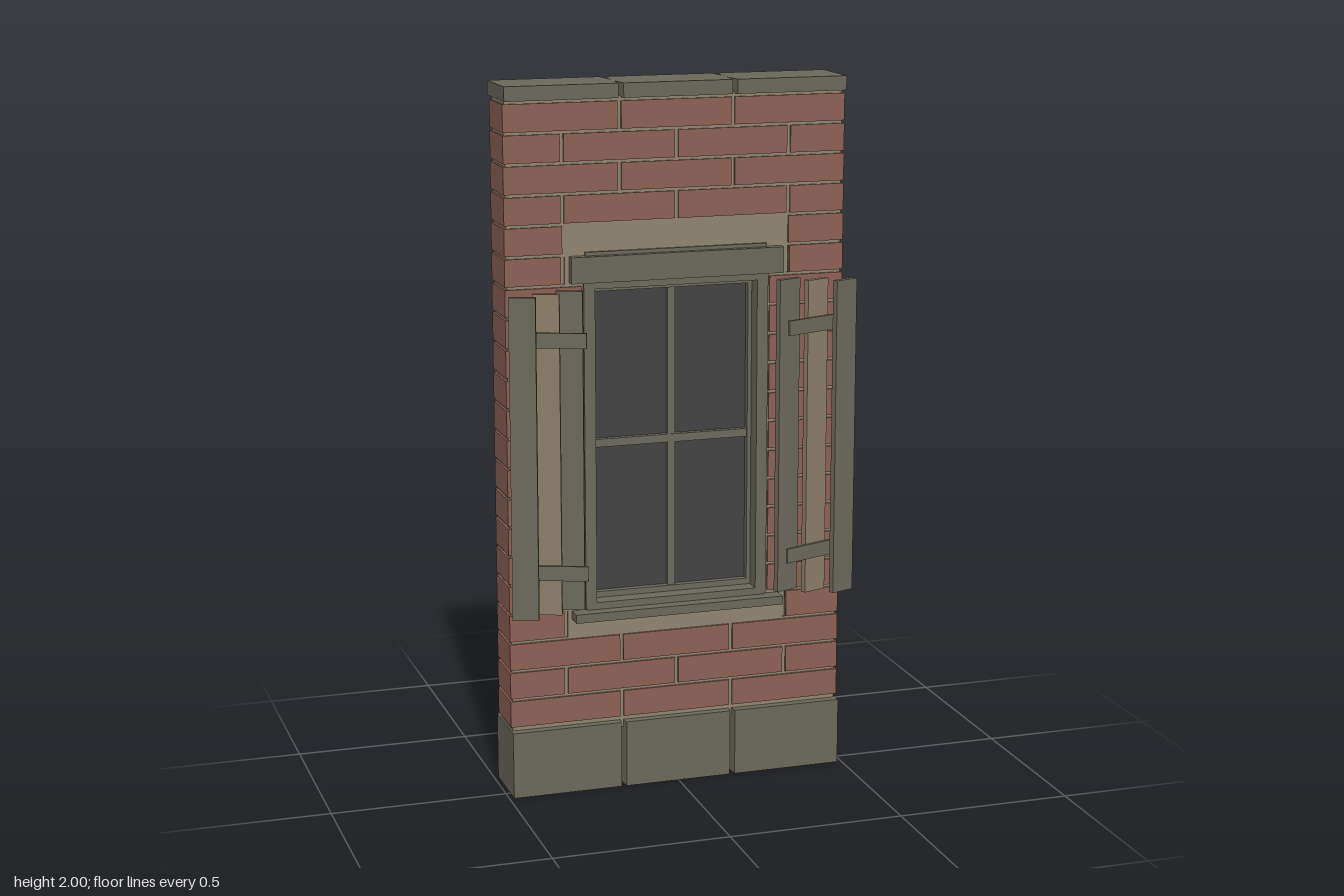
import * as THREE from 'three';

const mat = (name, color) => {
  const m = new THREE.MeshStandardMaterial({ color });
  m.name = name;
  return m;
};

export function createModel() {
  const brick = mat('brick red', 0x8c6056);
  const stone = mat('grey stone', 0x6b685b);
  const mortar = mat('tan mortar', 0x8e8470);
  const wood = mat('grey wood', 0x6c6a5d);
  const paleWood = mat('pale wood', 0x8b7d69);
  const glass = mat('dark glass', 0x434343);

  const model = new THREE.Group();
  model.name = 'wallWithWindow';
  const group = (name) => {
    const g = new THREE.Group();
    g.name = name;
    model.add(g);
    return g;
  };
  // Box given by its limits on each axis
  const box = (parent, name, material, [x0, x1], [y0, y1], [z0, z1]) => {
    const mesh = new THREE.Mesh(new THREE.BoxGeometry(x1 - x0, y1 - y0, z1 - z0), material);
    mesh.position.set((x0 + x1) / 2, (y0 + y1) / 2, (z0 + z1) / 2);
    mesh.name = name;
    parent.add(mesh);
    return mesh;
  };

  // Mortar core with the window opening
  const outline = new THREE.Shape([[-0.482, 0.17], [0.482, 0.17], [0.482, 1.965], [-0.482, 1.965]]
    .map(([x, y]) => new THREE.Vector2(x, y)));
  outline.holes.push(new THREE.Path([[-0.262, 0.5], [-0.262, 1.46], [0.262, 1.46], [0.262, 0.5]]
    .map(([x, y]) => new THREE.Vector2(x, y))));
  const core = new THREE.Mesh(
    new THREE.ExtrudeGeometry(outline, { depth: 0.131, bevelEnabled: false }), mortar);
  core.position.z = -0.112;
  core.name = 'mortarCore';
  model.add(core);

  // Brick courses in running bond, left out around the window
  const bricks = group('bricks');
  const rows = 21, y0 = 0.2, pitch = 1.755 / rows, edge = 0.488, gap = 0.005;
  for (let r = 0; r < rows; r++) {
    const seams = r % 2 ? [-edge, -0.325, 0, 0.325, edge] : [-edge, -0.1625, 0.1625, edge];
    const clear = r >= 4 && r <= 14 ? 0.267 : (r === 3 || r === 15 || r === 16) ? 0.321 : 0;
    const spans = [];
    for (let i = 0; i < seams.length - 1; i++) {
      const a = seams[i], b = seams[i + 1];
      if (!clear) spans.push([a, b]);
      else {
        if (a < -clear) spans.push([a, Math.min(b, -clear)]);
        if (b > clear) spans.push([Math.max(a, clear), b]);
      }
    }
    for (const [a, b] of spans) {
      const left = a === -edge ? a : a + gap, right = b === edge ? b : b - gap;
      box(bricks, 'brick', brick, [left, right],
        [y0 + r * pitch + 0.004, y0 + (r + 1) * pitch - 0.004], [-0.118, 0.025]);
    }
  }

  // Three stones side by side, their joints opening towards front and back
  const stoneRow = (name, bottom, top, zBack, zFront) => {
    const g = group(name);
    for (let i = -1; i <= 1; i++) {
      const c = i * 0.325, w = 0.162, n = 0.007, d = 0.06;
      const a = c - w, b = c + w;
      const l = i > -1 ? n : 0, r = i < 1 ? n : 0;
      const shape = new THREE.Shape([
        [a + l, -zFront], [b - r, -zFront], [b, -zFront + d], [b, -zBack - d],
        [b - r, -zBack], [a + l, -zBack], [a, -zBack - d], [a, -zFront + d],
      ].map(([x, y]) => new THREE.Vector2(x, y)));
      const mesh = new THREE.Mesh(
        new THREE.ExtrudeGeometry(shape, { depth: top - bottom, bevelEnabled: false }), stone);
      mesh.rotation.x = -Math.PI / 2;
      mesh.position.y = bottom;
      mesh.name = 'stone';
      g.add(mesh);
    }
  };
  stoneRow('baseStones', 0, 0.192, -0.14, 0.044);
  stoneRow('copingStones', 1.96, 2, -0.141, 0.041);

  // Window frame, sash bars and glass
  const win = group('window');
  const depth = [-0.12, 0.027];
  for (const s of [-1, 1]) {
    const span = (a, b) => (s > 0 ? [a, b] : [-b, -a]);
    box(win, 'jamb', wood, span(0.235, 0.267), [0.53, 1.46], depth);
    box(win, 'sashStile', wood, span(0.224, 0.235), [0.55, 1.44], [-0.07, -0.02]);
  }
  box(win, 'frameHead', wood, [-0.262, 0.262], [1.44, 1.543], depth);
  box(win, 'frameFoot', wood, [-0.262, 0.262], [0.495, 0.548], depth);
  box(win, 'sashRail', wood, [-0.235, 0.235], [1.425, 1.44], [-0.07, -0.02]);
  box(win, 'sashRail', wood, [-0.235, 0.235], [0.548, 0.565], [-0.07, -0.02]);
  box(win, 'uprightBar', wood, [-0.011, 0.011], [0.55, 1.44], [-0.064, -0.026]);
  box(win, 'crossBar', wood, [-0.23, 0.23], [0.983, 1.006], [-0.066, -0.024]);
  box(win, 'glass', glass, [-0.235, 0.235], [0.545, 1.445], [-0.05, -0.04]);

  // Lintel beam and sill, passing through the wall
  box(model, 'lintel', stone, [-0.306, 0.306], [1.46, 1.533], [-0.132, 0.045]);
  box(model, 'sill', stone, [-0.306, 0.306], [0.503, 0.528], [-0.13, 0.063]);

  // Open shutters: three staggered slanted planks and two battens each
  for (const s of [-1, 1]) {
    const shutter = group(s > 0 ? 'leftShutter' : 'rightShutter');
    const slanted = (name, material, x, y, z, w, h, t) => {
      const mesh = new THREE.Mesh(new THREE.BoxGeometry(w, h, t), material);
      mesh.position.set(s * x, y, z);
      mesh.rotation.y = s * 0.36;
      mesh.name = name;
      shutter.add(mesh);
    };
    slanted('outerPlank', wood, 0.463, 0.995, 0.112, 0.073, 0.9, 0.017);
    slanted('middlePlank', paleWood, 0.389, 0.995, 0.083, 0.073, 0.9, 0.017);
    slanted('innerPlank', wood, 0.316, 0.995, 0.056, 0.073, 0.9, 0.017);
    for (const y of [0.667, 1.32]) slanted('batten', wood, 0.388, y, 0.098, 0.209, 0.042, 0.008);
  }

  return model;
}
